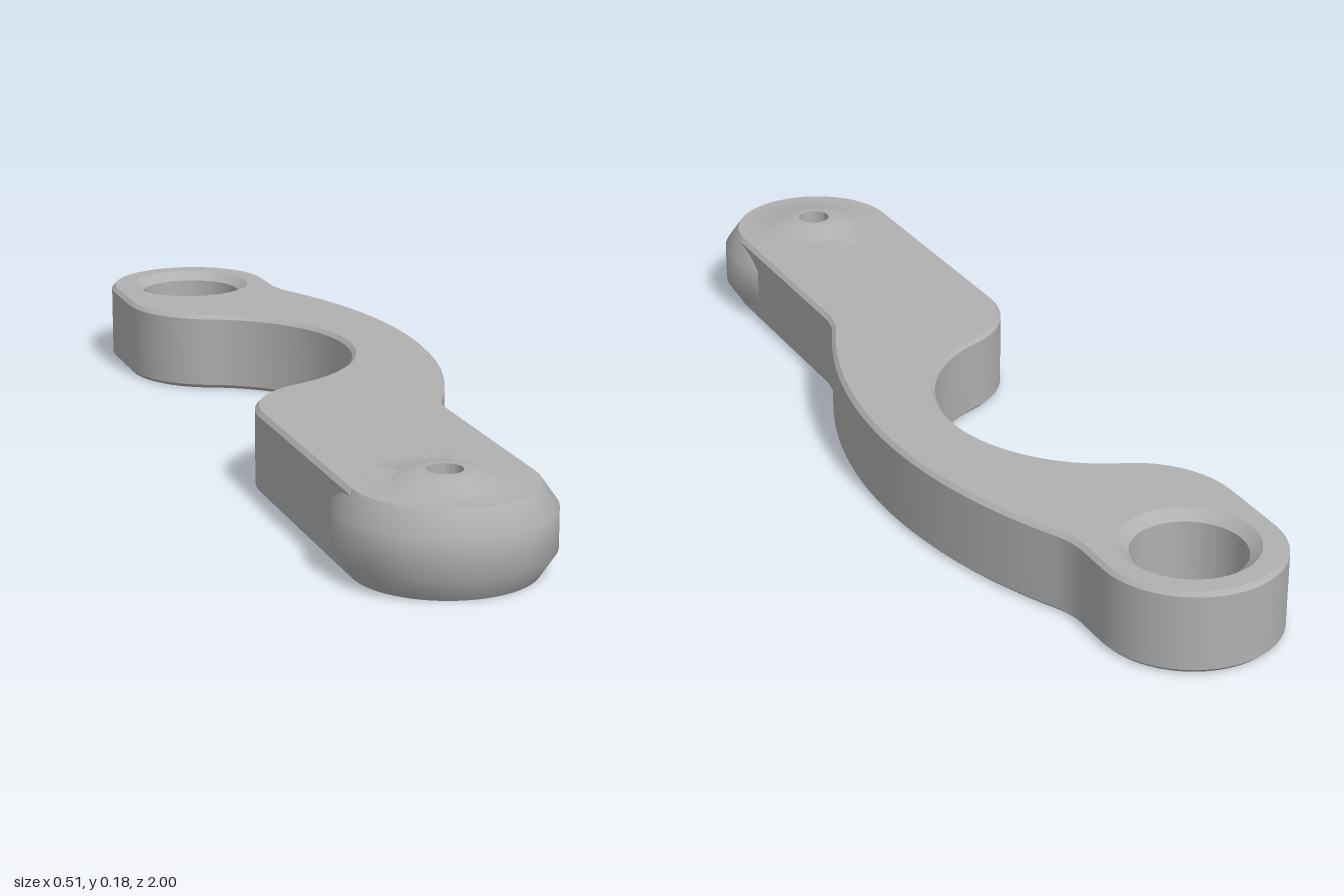
import * as THREE from 'three';
import { toCreasedNormals } from 'three/addons/utils/BufferGeometryUtils.js';

const CX = -0.058;      // centre line of both ends
const PIVOT_Z = 0.8;    // small bored end
const RING_Z = -0.82;   // large bored end
const HEIGHT = 0.163;
const BEVEL = 0.008;

// Outline of the arm; shape y is -z
function armShape() {
  const pts = [];
  const add = (x, y) => {
    const p = new THREE.Vector2(x, y);
    if (!pts.length || pts[pts.length - 1].distanceTo(p) > 0.003) pts.push(p);
  };
  const arc = (cx, cy, r, a0, a1, n) => {
    for (let i = 0; i <= n; i++) {
      const a = a0 + (a1 - a0) * i / n;
      add(cx + r * Math.cos(a), cy + r * Math.sin(a));
    }
  };
  const PI = Math.PI, outer = 0.463, inner = 1.209;
  add(0.12, -PIVOT_Z);
  arc(0.29, -0.352, 0.17, PI, PI - outer, 8);           // fillet into outer curve
  arc(-0.816, 0.2, 1.066, -outer, outer, 36);           // outer curve
  arc(0.29, 0.752, 0.17, PI + outer, PI, 8);
  arc(CX, -RING_Z, 0.178, 0, PI, 36);                   // ring end
  arc(-0.036, 0.686, 0.2, PI, PI + inner, 16);          // left shoulder
  arc(-0.22, 0.2, 0.32, inner, -inner, 32);             // inner cut-out
  arc(-0.036, -0.286, 0.2, PI - inner, PI, 16);
  add(-0.236, -PIVOT_Z);
  arc(CX, -PIVOT_Z, 0.05, PI, 0, 16);                   // notch clearing the pivot bore
  const shape = new THREE.Shape(pts);
  const hole = new THREE.Path();
  hole.absarc(CX, -RING_Z, 0.122, 0, PI * 2, true);
  shape.holes.push(hole);
  return shape;
}

// Closed ring-like solid, profile listed counter-clockwise as [radius, y]
function turned(name, profile, z, material) {
  const pts = [...profile, profile[0]].map(([r, y]) => new THREE.Vector2(r, y));
  const mesh = new THREE.Mesh(toCreasedNormals(new THREE.LatheGeometry(pts, 64), 0.7), material);
  mesh.name = name;
  mesh.position.set(CX, 0, z);
  return mesh;
}

export function createModel() {
  const group = new THREE.Group();
  group.name = 'leverArm';
  const grey = new THREE.MeshStandardMaterial({ color: 0xb0b0b0 });
  grey.name = 'plain grey';

  // Curved arm with chamfered edges
  const armGeometry = new THREE.ExtrudeGeometry(armShape(), {
    depth: HEIGHT - 2 * BEVEL,
    bevelThickness: BEVEL, bevelSize: BEVEL, bevelOffset: -BEVEL, bevelSegments: 1,
    curveSegments: 32,
  });
  armGeometry.translate(0, 0, BEVEL);
  armGeometry.rotateX(-Math.PI / 2);
  const arm = new THREE.Mesh(toCreasedNormals(armGeometry, 0.5), grey);
  arm.name = 'arm';
  group.add(arm);

  // Countersunk lining of the large bore
  group.add(turned('ringLining', [
    [0.108, 0], [0.13, 0], [0.13, HEIGHT], [0.108, 0.145],
  ], RING_Z, grey));

  // Wider rounded end with raised boss and through hole
  group.add(turned('pivotEnd', [
    [0.033, 0], [0.17, 0], [0.2, 0.045], [0.2, 0.12], [0.17, HEIGHT],
    [0.095, HEIGHT], [0.061, 0.183], [0.033, 0.183],
  ], PIVOT_Z, grey));

  return group;
}
